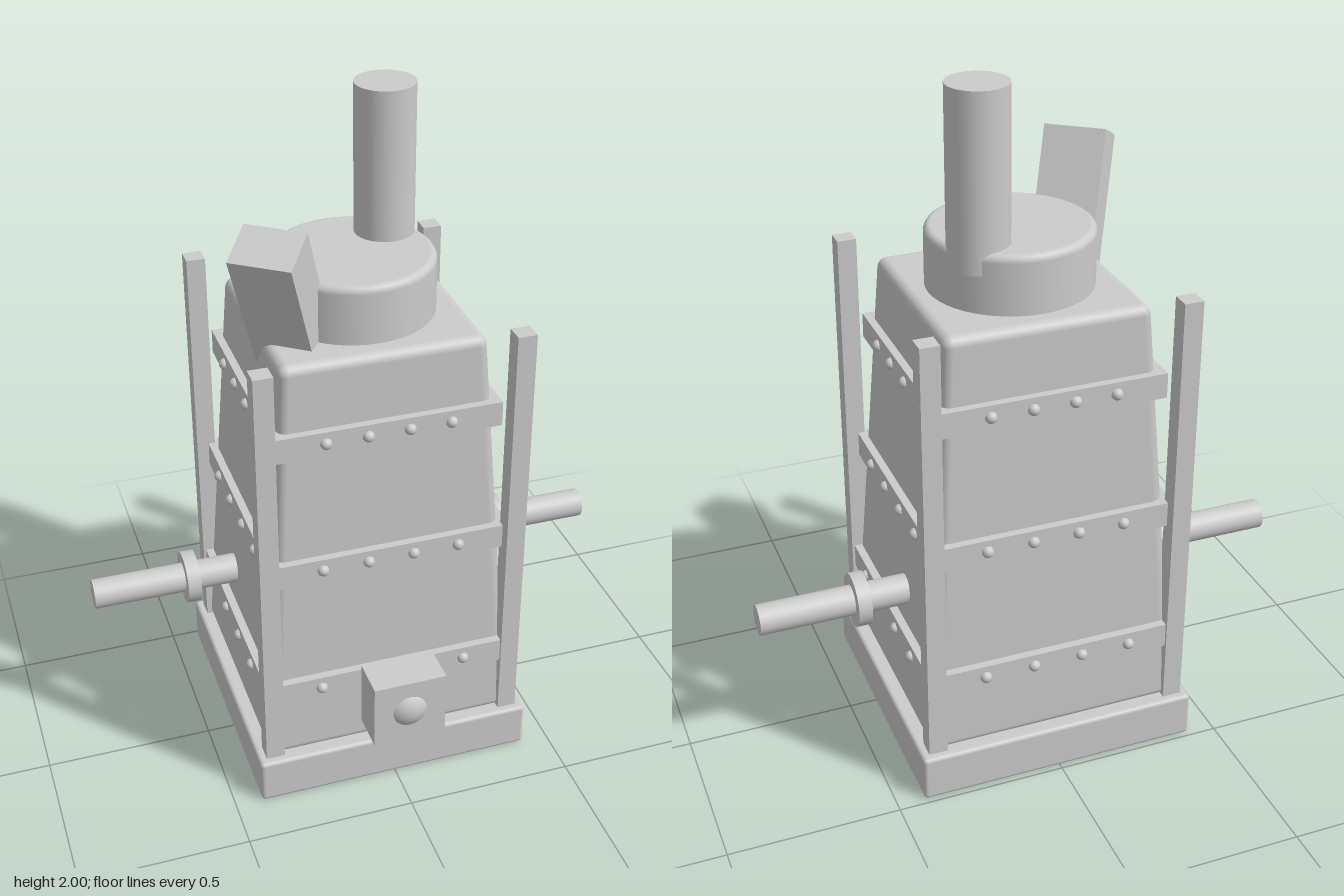
import * as THREE from 'three';
import { RoundedBoxGeometry } from 'three/addons/geometries/RoundedBoxGeometry.js';

export function createModel() {
  const model = new THREE.Group();
  const material = new THREE.MeshStandardMaterial({ color: 0xcccccc });

  // The furnace stack is built around its own axis, behind the overall centre
  const stack = new THREE.Group();
  stack.name = 'furnace';
  stack.position.z = -0.067;
  model.add(stack);

  const add = (name, geometry, x = 0, y = 0, z = 0, parent = stack) => {
    const mesh = new THREE.Mesh(geometry, material);
    mesh.name = name;
    mesh.position.set(x, y, z);
    parent.add(mesh);
    return mesh;
  };

  // Plinth
  add('base', new RoundedBoxGeometry(0.84, 0.14, 0.84, 2, 0.012), 0, 0.07, 0);

  // Tapered body with softened edges
  const bottomY = 0.13, topY = 1.39, bottomHalf = 0.382, topHalf = 0.297;
  const body = new RoundedBoxGeometry(2 * topHalf, topY - bottomY, 2 * topHalf, 4, 0.028);
  const p = body.attributes.position;
  for (let i = 0; i < p.count; i++) {
    const t = p.getY(i) / (topY - bottomY) + 0.5;
    const s = THREE.MathUtils.lerp(bottomHalf, topHalf, t) / topHalf;
    p.setX(i, p.getX(i) * s);
    p.setZ(i, p.getZ(i) * s);
  }
  add('body', body, 0, (bottomY + topY) / 2, 0);

  // Corner posts
  for (const sx of [-1, 1]) for (const sz of [-1, 1]) {
    add('cornerPost', new THREE.BoxGeometry(0.056, 1.29, 0.056), sx * 0.368, 0.785, sz * 0.368);
  }

  // Riveted bands: [centre height, half width, outermost rivet offset]
  const rivet = new THREE.SphereGeometry(0.017, 16, 12);
  for (const [y, half, reach] of [[0.36, 0.388, 0.22], [0.76, 0.36, 0.203], [1.16, 0.333, 0.182]]) {
    add('band', new THREE.BoxGeometry(2 * half, 0.075, 2 * half), 0, y, 0);
    for (let side = 0; side < 4; side++) {
      const row = new THREE.Group();
      row.name = 'rivetRow';
      row.rotation.y = side * Math.PI / 2;
      stack.add(row);
      for (let i = 0; i < 4; i++) add('rivet', rivet, reach * (i * 2 / 3 - 1), y + 0.002, half, row);
    }
  }

  // Drum cap with a rounded rim
  const rim = [[0, 1.37], [0.238, 1.37], [0.238, 1.54]];
  for (let i = 1; i <= 4; i++) {
    const a = i * Math.PI / 8;
    rim.push([0.218 + 0.02 * Math.cos(a), 1.54 + 0.022 * Math.sin(a)]);
  }
  rim.push([0, 1.562]);
  const profile = [];
  rim.forEach(([r, y], i) => {
    profile.push(new THREE.Vector2(r, y));
    if (i === 1) profile.push(new THREE.Vector2(r, y + 0.001));
  });
  add('drum', new THREE.LatheGeometry(profile, 48));

  // Chimney
  add('chimney', new THREE.CylinderGeometry(0.087, 0.087, 0.5, 32), 0.129, 1.75, -0.1);

  // Feed chute leaning out over the front corner
  const chute = new THREE.Group();
  chute.name = 'chute';
  chute.position.set(-0.302, 1.715, 0.23);
  chute.rotation.set(0.43, -0.645, 0, 'YXZ');
  stack.add(chute);
  add('chuteBox', new THREE.BoxGeometry(0.178, 0.5, 0.135), 0, -0.25, 0, chute);

  // Side pipes with flanges
  for (const s of [-1, 1]) {
    const pipe = add('sidePipe', new THREE.CylinderGeometry(0.045, 0.045, 0.5, 24), s * 0.546, 0.5, -0.082);
    const flange = add('pipeFlange', new THREE.CylinderGeometry(0.079, 0.079, 0.04, 32), s * 0.498, 0.5, -0.082);
    pipe.rotation.z = flange.rotation.z = Math.PI / 2;
  }

  // Front control box with a ball set through it
  add('controlBox', new THREE.BoxGeometry(0.218, 0.204, 0.122), 0, 0.337, 0.411, model);
  add('controlBall', new THREE.SphereGeometry(0.08, 32, 20), 0, 0.337, 0.411, model);

  return model;
}
